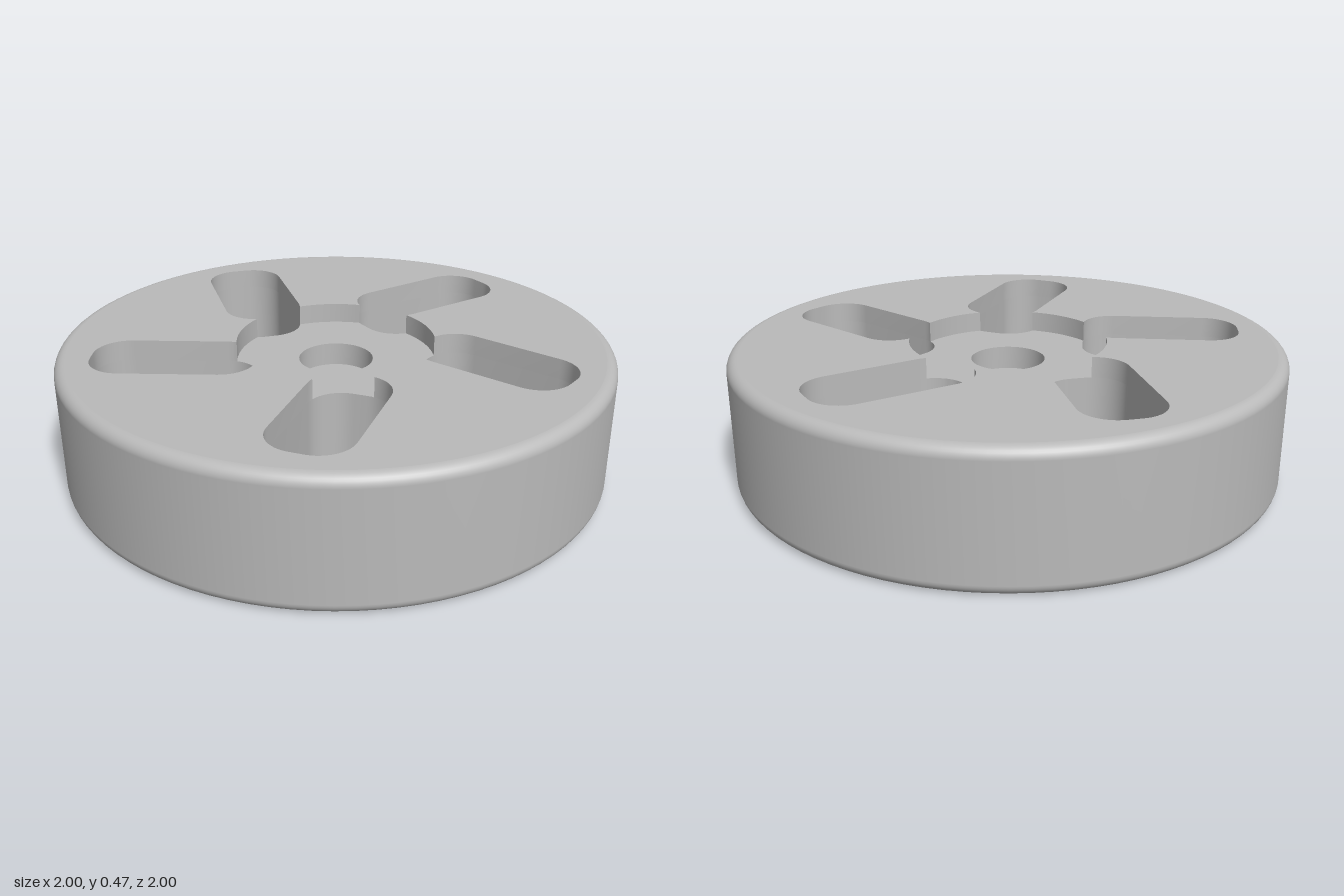
import * as THREE from 'three';
import { toCreasedNormals } from 'three/addons/utils/BufferGeometryUtils.js';

const TAU = Math.PI * 2, COUNT = 5, STEP = TAU / COUNT;
const FILLET = 0.04, TOP = 0.475;
const DISH_R = 0.36, DISH_Y = 0.4;        // shallow dish on the top
const SEAT_R = 0.135, SEAT_Y = 0.315;     // counterbore in the dish
const BORE_R = 0.043;                     // through hole
const UNDER_R = 0.85, UNDER_Y = 0.063;    // recess underneath

// Plan outlines are drawn counter-clockwise in (x, -z).
const circle = (r, n = 96) =>
  Array.from({ length: n }, (_, i) => new THREE.Vector2(r * Math.cos(i / n * TAU), r * Math.sin(i / n * TAU)));

const turn = (pts, k) => pts.map(p => p.clone().rotateAround(new THREE.Vector2(), k * STEP));

// Rounded slot, placed off the radial line
function slotOutline() {
  const x0 = 0.04, x1 = 0.33, y0 = -0.85, y1 = -0.27, r = 0.12;
  const corners = [[x1 - r, y0 + r, -1], [x1 - r, y1 - r, 0], [x0 + r, y1 - r, 1], [x0 + r, y0 + r, 2]];
  return corners.flatMap(([cx, cy, q]) => Array.from({ length: 13 }, (_, i) => {
    const a = (q + i / 12) * Math.PI / 2;
    return new THREE.Vector2(cx + r * Math.cos(a), cy + r * Math.sin(a));
  }));
}
const slot = slotOutline();

// Part of the slot outline outside (or inside) radius R, cut exactly on the circle
function chain(R, outside) {
  const n = slot.length, wanted = i => (slot[i % n].length() > R) === outside;
  const cut = (a, b) => {
    const t = (R - a.length()) / (b.length() - a.length());
    return a.clone().lerp(b, t).setLength(R);
  };
  let i = 0;
  while (wanted(i + n - 1) || !wanted(i)) i++;
  const pts = [cut(slot[(i + n - 1) % n], slot[i % n])];
  for (; wanted(i); i++) pts.push(slot[i % n]);
  pts.push(cut(slot[(i + n - 1) % n], slot[i % n]));
  return pts;
}

// Arc of the circle R between one slot and the next
function gap(R) {
  const c = chain(R, true), a = c[c.length - 1].angle();
  const sweep = (c[0].angle() + STEP - a + 2 * TAU) % TAU;
  return Array.from({ length: 19 }, (_, i) =>
    new THREE.Vector2(R * Math.cos(a + sweep * i / 18), R * Math.sin(a + sweep * i / 18)));
}

// Circle R joined with the slots (outside) or notched by them
function notched(R, outside) {
  const c = chain(R, outside);
  if (!outside) c.reverse();
  const piece = [...c, ...gap(R).slice(1, -1)];
  return Array.from({ length: COUNT }, (_, k) => turn(piece, k)).flat();
}

// Flat face with holes at height y, facing up or down
function face(outline, holes, y, up = true) {
  const shape = new THREE.Shape(outline);
  shape.holes = holes.map(h => new THREE.Path(h));
  const geo = new THREE.ShapeGeometry(shape).rotateX(-Math.PI / 2).translate(0, y, 0);
  if (!up) {
    geo.index.array.reverse();
    geo.computeVertexNormals();
  }
  return geo;
}

// Upright wall along a path, facing the path's left side
function wall(path, y0, y1, closed = false) {
  const pos = [], last = closed ? path.length : path.length - 1;
  for (let i = 0; i < last; i++) {
    const a = path[i], b = path[(i + 1) % path.length];
    const at = (p, y) => [p.x, y, -p.y];
    pos.push(...at(a, y0), ...at(a, y1), ...at(b, y0), ...at(b, y0), ...at(a, y1), ...at(b, y1));
  }
  const geo = new THREE.BufferGeometry();
  geo.setAttribute('position', new THREE.Float32BufferAttribute(pos, 3));
  geo.computeVertexNormals();
  return toCreasedNormals(geo, 0.6);
}

export function createModel() {
  const group = new THREE.Group();
  const grey = new THREE.MeshStandardMaterial({ color: 0xbababa });
  grey.name = 'plain grey';
  const add = (name, geo) => {
    const mesh = new THREE.Mesh(geo, grey);
    mesh.name = name;
    group.add(mesh);
  };

  // Outer rim with filleted edges
  const profile = [];
  for (let i = 0; i <= 8; i++) {
    const a = -Math.PI / 2 + i / 8 * Math.PI / 2;
    profile.push(new THREE.Vector2(1 - FILLET + FILLET * Math.cos(a), FILLET + FILLET * Math.sin(a)));
  }
  for (let i = 8; i >= 0; i--) profile.push(new THREE.Vector2(profile[i].x, TOP - profile[i].y));
  add('outerRim', new THREE.LatheGeometry(profile, 96));

  // Flat faces
  const edge = circle(1 - FILLET);
  add('topFace', face(edge, [notched(DISH_R, true)], TOP));
  add('dishFloor', face(notched(DISH_R, false), [circle(SEAT_R, 48)], DISH_Y));
  add('counterboreFloor', face(circle(SEAT_R, 48), [circle(BORE_R, 24)], SEAT_Y));
  add('bottomRing', face(edge, [notched(UNDER_R, true)], 0, false));
  add('undersideFloor', face(notched(UNDER_R, false), [circle(BORE_R, 24)], UNDER_Y, false));

  // Central hole
  add('counterboreWall', wall(circle(SEAT_R, 48), SEAT_Y, DISH_Y, true));
  add('boreWall', wall(circle(BORE_R, 24), UNDER_Y, SEAT_Y, true));

  // Slots, and the recess walls between them
  for (let k = 0; k < COUNT; k++) {
    add('slotWall', wall(turn(slot, k), UNDER_Y, DISH_Y, true));
    add('slotUpperWall', wall(turn(chain(DISH_R, true), k), DISH_Y, TOP));
    add('slotLowerWall', wall(turn(chain(UNDER_R, true), k), 0, UNDER_Y));
    add('dishWall', wall(turn(gap(DISH_R), k), DISH_Y, TOP));
    add('undersideWall', wall(turn(gap(UNDER_R), k), 0, UNDER_Y));
  }
  return group;
}
